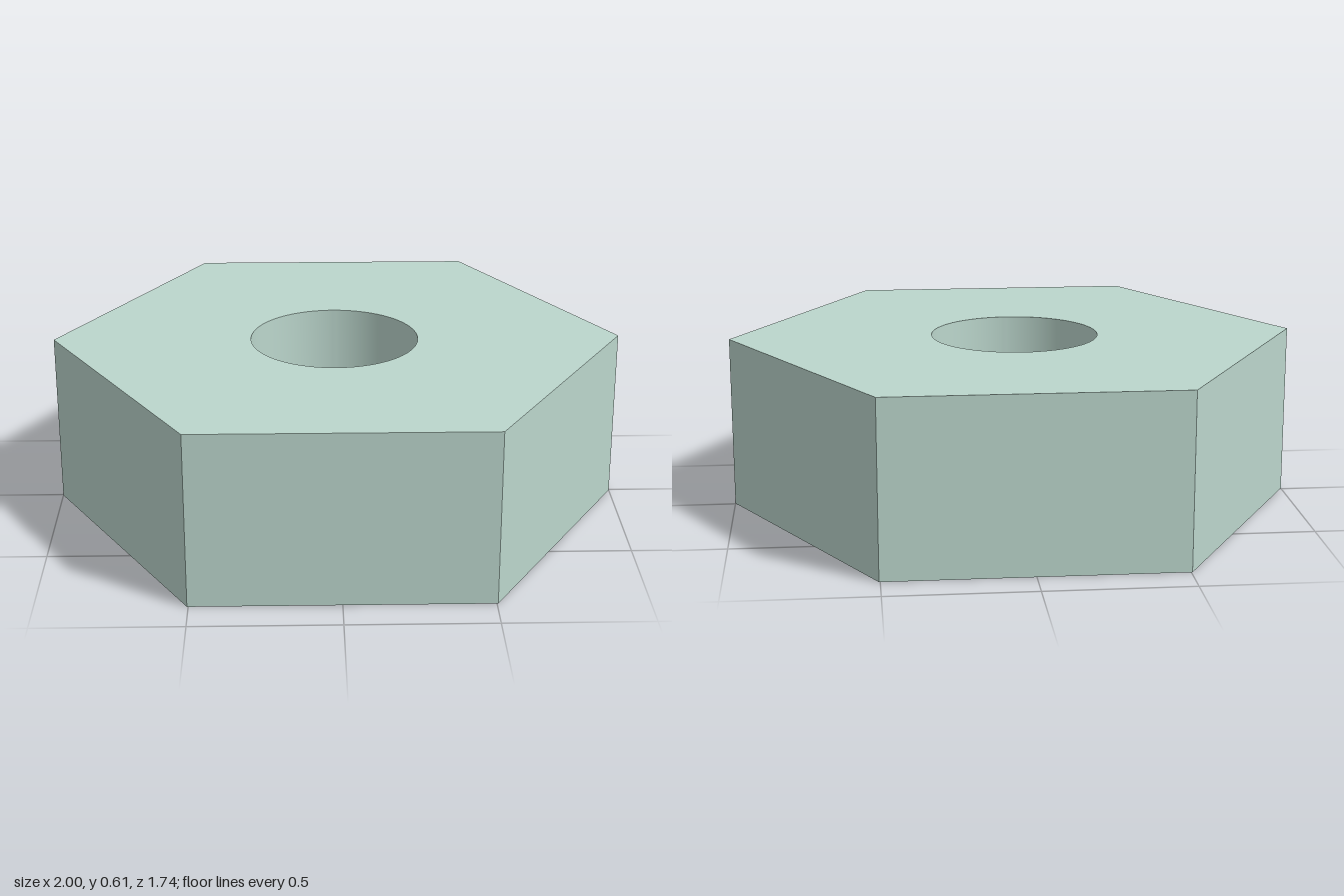
import * as THREE from 'three';
import { toCreasedNormals } from 'three/addons/utils/BufferGeometryUtils.js';

const HEIGHT = 0.605;
const HOLE_RADIUS = 0.295;

export function createModel() {
  const group = new THREE.Group();
  group.name = 'hexNut';

  // Hexagonal outline; shape y becomes -z once laid flat
  const outline = new THREE.Shape([
    [1, -0.006], [0.504, 0.869], [-0.504, 0.869],
    [-1, -0.006], [-0.504, -0.869], [0.504, -0.869],
  ].map(([x, y]) => new THREE.Vector2(x, y)));

  // Round bore, very slightly off centre
  const bore = new THREE.Path();
  bore.absarc(-0.009, -0.006, HOLE_RADIUS, 0, Math.PI * 2, true);
  outline.holes.push(bore);

  const solid = new THREE.ExtrudeGeometry(outline, {
    depth: HEIGHT, bevelEnabled: false, curveSegments: 72,
  });
  solid.rotateX(-Math.PI / 2);

  // Smooth bore wall, sharp hexagon edges
  const nut = new THREE.Mesh(
    toCreasedNormals(solid, Math.PI / 6),
    new THREE.MeshStandardMaterial({ color: 0xbbd6cc }),
  );
  nut.name = 'nutBody';
  group.add(nut);
  return group;
}
